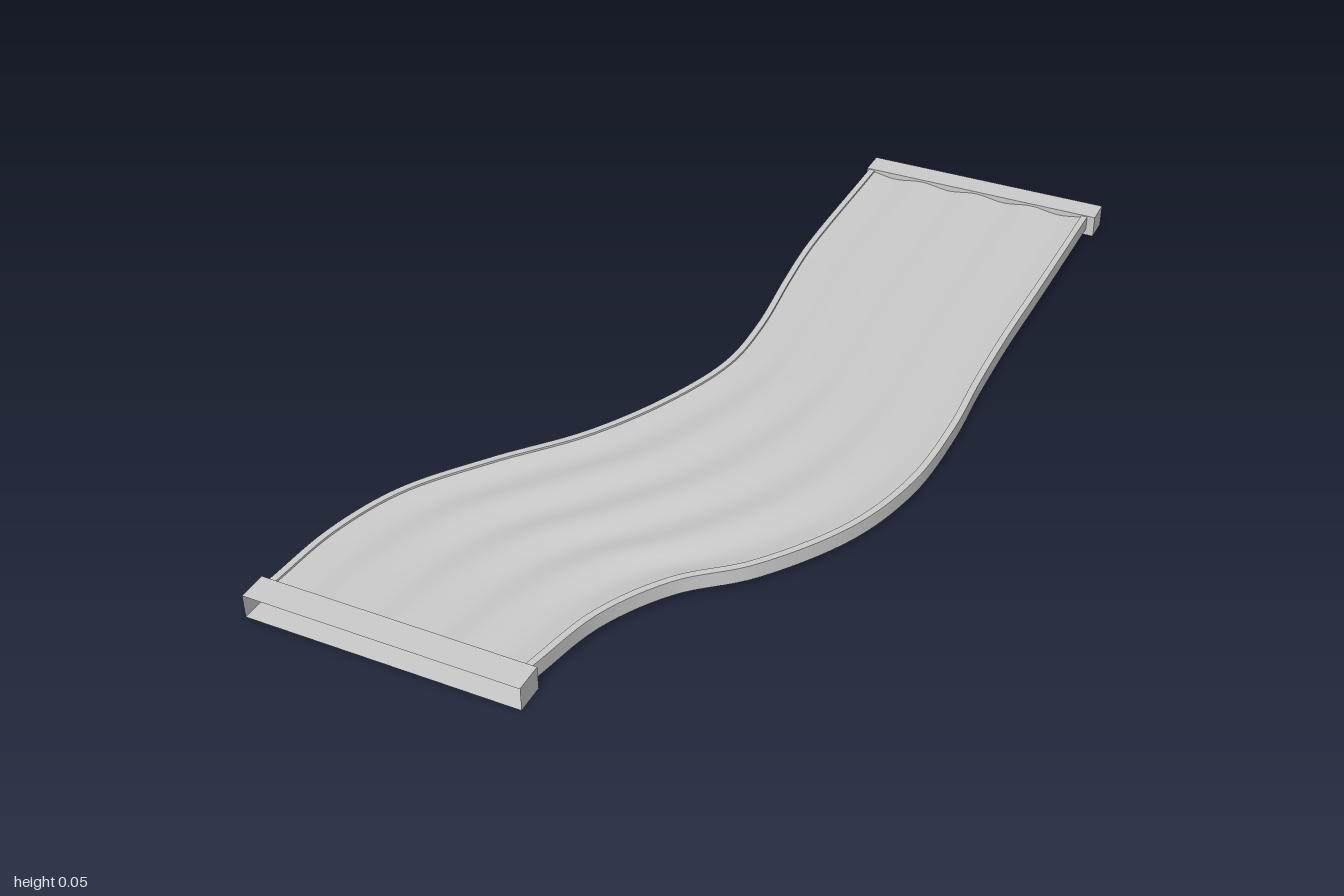
import * as THREE from 'three';
import { toCreasedNormals } from 'three/addons/utils/BufferGeometryUtils.js';

const STEPS = 72;
const END = 0.94;
const RIM = 0.014;

// Edge paths in plan, [x, z], from the back end to the front end
const curve = pts => new THREE.CatmullRomCurve3(pts.map(([x, z]) => new THREE.Vector3(x, 0, z)));
const rightEdge = curve([
  [-0.065, -END], [-0.065, -0.55], [-0.053, -0.4], [-0.032, -0.2], [-0.035, -0.05], [-0.085, 0.11],
  [-0.18, 0.29], [-0.31, 0.45], [-0.42, 0.61], [-0.47, 0.77], [-0.485, END]]);
const leftEdge = curve([
  [0.482, -END], [0.477, -0.6], [0.473, -0.4], [0.475, -0.2], [0.482, -0.03], [0.47, 0.17],
  [0.415, 0.35], [0.295, 0.53], [0.18, 0.635], [0.1, 0.77], [0.06, END]]);

// The whole duct sags a little in the middle
const sag = z => -0.004 * (1 - (z / END) ** 2);

// Joins rows of points, one row per step, into a skin
function skin(rows, closed) {
  const n = rows[0].length;
  const index = [];
  for (let i = 0; i < rows.length - 1; i++) {
    for (let j = 0; j < (closed ? n : n - 1); j++) {
      const k = (j + 1) % n;
      const a = i * n + j, b = a + n, c = (i + 1) * n + k, d = i * n + k;
      index.push(a, b, c, a, c, d);
    }
  }
  const geo = new THREE.BufferGeometry();
  geo.setAttribute('position', new THREE.Float32BufferAttribute(rows.flat(2), 3));
  geo.setIndex(index);
  geo.computeVertexNormals();
  return geo;
}

// Upright rim: a rectangle swept along one edge; x0 and x1 are sideways offsets
function rimGeometry(path, x0, x1) {
  const rows = [];
  for (let i = 0; i <= STEPS; i++) {
    const t = i / STEPS;
    const p = path.getPoint(t), d = path.getTangent(t);
    if (i === 0 || i === STEPS) d.set(0, 0, 1);
    rows.push([[x0, 0.015], [x0, 0.048], [x1, 0.048], [x1, 0.015]].map(([o, y]) =>
      [p.x + d.z * o, y + sag(p.z), p.z - d.x * o]));
  }
  return toCreasedNormals(skin(rows, true), 0.6);
}

// Rippled panel stretched between the two rims
function panelGeometry() {
  const rows = [], across = 48;
  for (let i = 0; i <= STEPS; i++) {
    const a = rightEdge.getPoint(i / STEPS), b = leftEdge.getPoint(i / STEPS);
    const row = [];
    for (let j = 0; j <= across; j++) {
      const s = 0.012 + 0.976 * j / across;
      const p = a.clone().lerp(b, s);
      row.push([p.x, 0.0405 + 0.004 * Math.cos(s * Math.PI * 8) + sag(p.z), p.z]);
    }
    rows.push(row);
  }
  return skin(rows, false);
}

// Shallow box whose outward (+z) face is open
function collarGeometry() {
  const geo = new THREE.BoxGeometry(0.57, 0.05, 0.06);
  const idx = Array.from(geo.index.array);
  idx.splice(24, 6);
  geo.setIndex(idx);
  geo.clearGroups();
  return geo;
}

export function createModel() {
  const group = new THREE.Group();
  group.name = 'curvedDuct';
  const material = new THREE.MeshStandardMaterial({ color: 0xcccccc, side: THREE.DoubleSide });
  const add = (name, geo) => {
    const mesh = new THREE.Mesh(geo, material);
    mesh.name = name;
    group.add(mesh);
    return mesh;
  };

  add('ripplePanel', panelGeometry());
  add('rightRim', rimGeometry(rightEdge, 0, RIM));
  add('leftRim', rimGeometry(leftEdge, -RIM, 0));

  // End collars
  add('frontCollar', collarGeometry()).position.set(-0.215, 0.025, 0.97);
  const back = add('backCollar', collarGeometry());
  back.position.set(0.215, 0.025, -0.97);
  back.rotation.y = Math.PI;
  return group;
}
